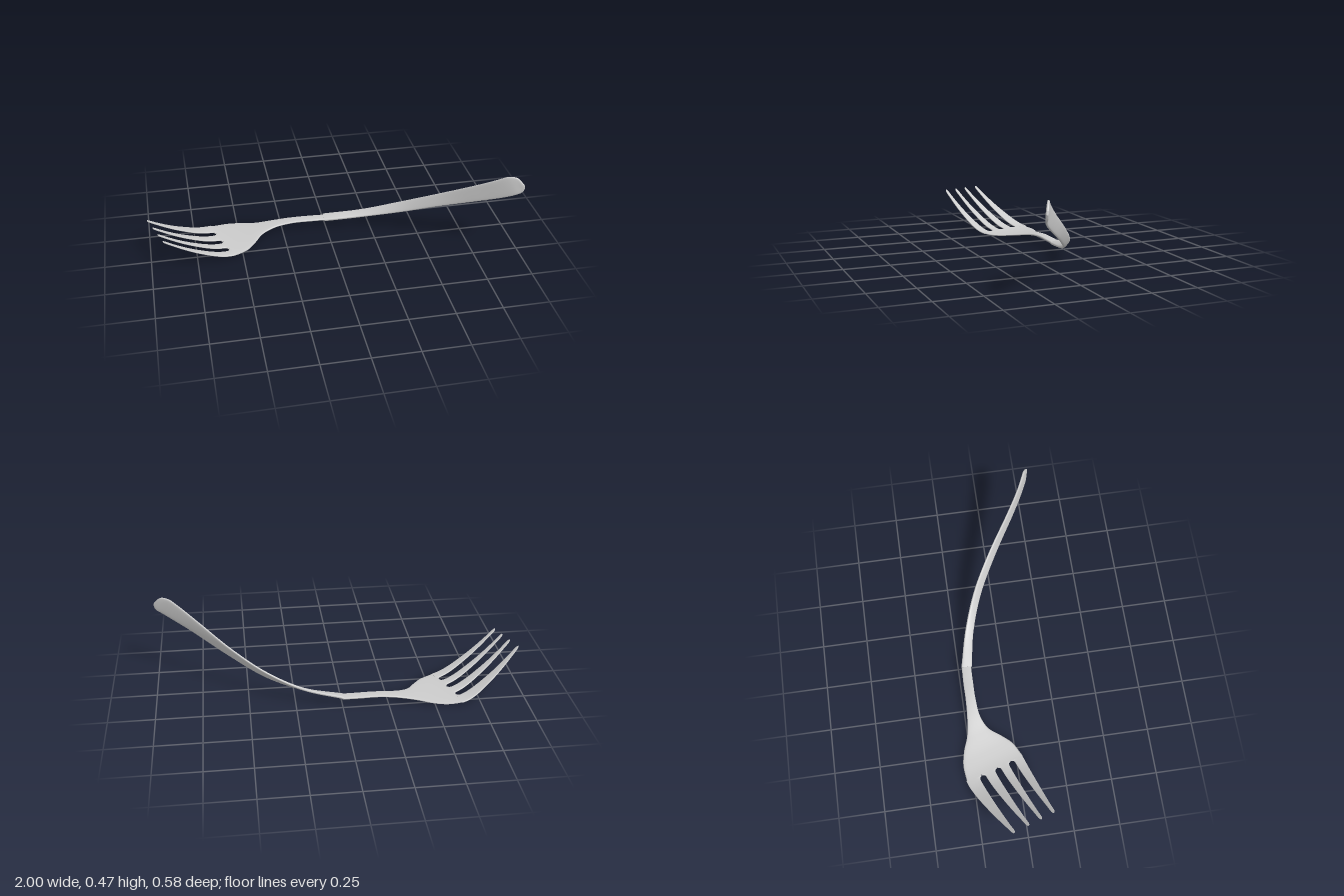
import * as THREE from 'three';

const material = new THREE.MeshStandardMaterial({ color: 0xcccccc, side: THREE.DoubleSide });
const vec = (p) => new THREE.Vector3(...p);
const SIDES = 24;

// Lofts a thin solid between two edge rails; half(t) is half its thickness,
// and lift(point) may raise each finished point.
function loft(name, railA, railB, rows, half, lift = () => 0) {
  const a = new THREE.CatmullRomCurve3(railA.map(vec));
  const b = new THREE.CatmullRomCurve3(railB.map(vec));
  const mid = (t) => a.getPoint(t).add(b.getPoint(t)).multiplyScalar(0.5);
  const pos = [], index = [], rings = [];
  for (let i = 0; i <= rows; i++) {
    const t = i / rows;
    const centre = mid(t);
    const w = a.getPoint(t).sub(b.getPoint(t)).multiplyScalar(0.5);
    const along = mid(Math.min(1, t + 0.01)).sub(mid(Math.max(0, t - 0.01)));
    const n = new THREE.Vector3().crossVectors(w, along).normalize();
    const ring = [];
    for (let j = 0; j < SIDES; j++) {
      const angle = (j / SIDES) * Math.PI * 2, s = Math.sin(angle);
      const p = centre.clone().addScaledVector(w, Math.cos(angle))
        .addScaledVector(n, Math.sign(s) * Math.sqrt(Math.abs(s)) * half(t));
      p.y += lift(p);
      ring.push(p);
      pos.push(p.x, p.y, p.z);
    }
    rings.push(ring);
  }
  for (let i = 0; i < rows; i++) {
    for (let j = 0; j < SIDES; j++) {
      const k = (j + 1) % SIDES, p = i * SIDES, q = p + SIDES;
      index.push(p + j, q + j, p + k, q + j, q + k, p + k);
    }
  }
  // flat end caps with their own vertices
  [[rings[0], false], [rings[rows], true]].forEach(([ring, flip]) => {
    const start = pos.length / 3;
    ring.forEach((p) => pos.push(p.x, p.y, p.z));
    for (let j = 1; j < SIDES - 1; j++) {
      index.push(start, start + (flip ? j + 1 : j), start + (flip ? j : j + 1));
    }
  });
  const geometry = new THREE.BufferGeometry();
  geometry.setAttribute('position', new THREE.Float32BufferAttribute(pos, 3));
  geometry.setIndex(index);
  geometry.computeVertexNormals();
  const mesh = new THREE.Mesh(geometry, material);
  mesh.name = name;
  return mesh;
}

// Head axes in plan: u runs toward the tips, v across the tines
const U = -0.95, V = 0.32, N2 = U * U + V * V;
const plan = (u, v) => [(U * u + V * v) / N2, 0, (V * u - U * v) / N2];

// Height of the head along u
const heights = new THREE.CubicInterpolant(
  new Float32Array([-0.1, 0, 0.12, 0.2, 0.32, 0.43, 0.53, 0.6, 0.73, 0.82, 0.924, 1]),
  new Float32Array([0.04, 0.042, 0.043, 0.036, 0.018, 0.007, 0.008, 0.023, 0.086, 0.142, 0.218, 0.278]), 1);
const headLift = (p) => heights.evaluate(U * p.x + V * p.z)[0];

// One tine between root edges v0 and v1, rounding into the slots beside it
function tine(name, v0, v1, tip, slot0, slot1) {
  const railA = [], railB = [], inset = 0.018;
  const add = (u, lo, hi) => { railA.push(plan(u, lo)); railB.push(plan(u, hi)); };
  [[0.525, 0], [0.534, 0.1], [0.538, 0.6], [0.546, 0.92]].forEach(([u, k]) =>
    add(u, v0 + slot0 * inset * k, v1 - slot1 * inset * k));
  const lo = v0 + slot0 * inset, hi = v1 - slot1 * inset;
  for (let i = 0; i <= 8; i++) {
    const t = i / 8;
    const centre = THREE.MathUtils.lerp((lo + hi) / 2, tip, t ** 1.3);
    const w = THREE.MathUtils.lerp((hi - lo) / 2, 0.008, t ** 1.3);
    add(0.56 + 0.357 * t, centre - w, centre + w);
  }
  add(0.924, tip - 0.003, tip + 0.003);
  return loft(name, railA, railB, 52, () => 0.005, headLift);
}

export function createModel() {
  const group = new THREE.Group();
  group.name = 'fork';

  // Neck widening into the head
  const back = [[0, -0.23], [-0.1, -0.233], [-0.2, -0.233], [-0.3, -0.238],
    [-0.4, -0.252], [-0.48, -0.28], [-0.56, -0.295], [-0.65, -0.287]];
  const front = [[0, -0.177], [-0.1, -0.178], [-0.2, -0.177], [-0.3, -0.165],
    [-0.37, -0.13], [-0.42, -0.065], [-0.47, -0.008], [-0.55, 0.037]];
  const flat = ([x, z]) => [x, 0, z];
  group.add(loft('neckAndHead', back.map(flat), front.map(flat), 56,
    (t) => THREE.MathUtils.lerp(0.007, 0.005, t), headLift));

  // Four tines
  const edges = [-0.483, -0.392, -0.299, -0.214, -0.143];
  const tips = [-0.396, -0.312, -0.237, -0.163];
  tips.forEach((tip, i) => group.add(
    tine(`tine${i + 1}`, edges[i], edges[i + 1], tip, i > 0 ? 1 : 0, i < 3 ? 1 : 0)));

  // Twisting handle with a rounded end
  const lower = [[-0.005, 0.038, -0.172], [0.2, 0.062, -0.135], [0.4, 0.112, -0.065],
    [0.6, 0.2, 0.05], [0.8, 0.295, 0.185], [0.9, 0.34, 0.246], [0.955, 0.367, 0.274],
    [0.985, 0.385, 0.283], [0.996, 0.41, 0.286]];
  const upper = [[-0.005, 0.047, -0.232], [0.2, 0.085, -0.18], [0.4, 0.16, -0.1],
    [0.58, 0.255, 0.01], [0.76, 0.37, 0.145], [0.86, 0.435, 0.215], [0.91, 0.464, 0.243],
    [0.955, 0.465, 0.264], [0.991, 0.43, 0.283]];
  group.add(loft('handle', lower, upper, 72,
    (t) => 0.009 - 0.002 * Math.sin(Math.PI * t) - 0.004 * t ** 12));

  return group;
}
